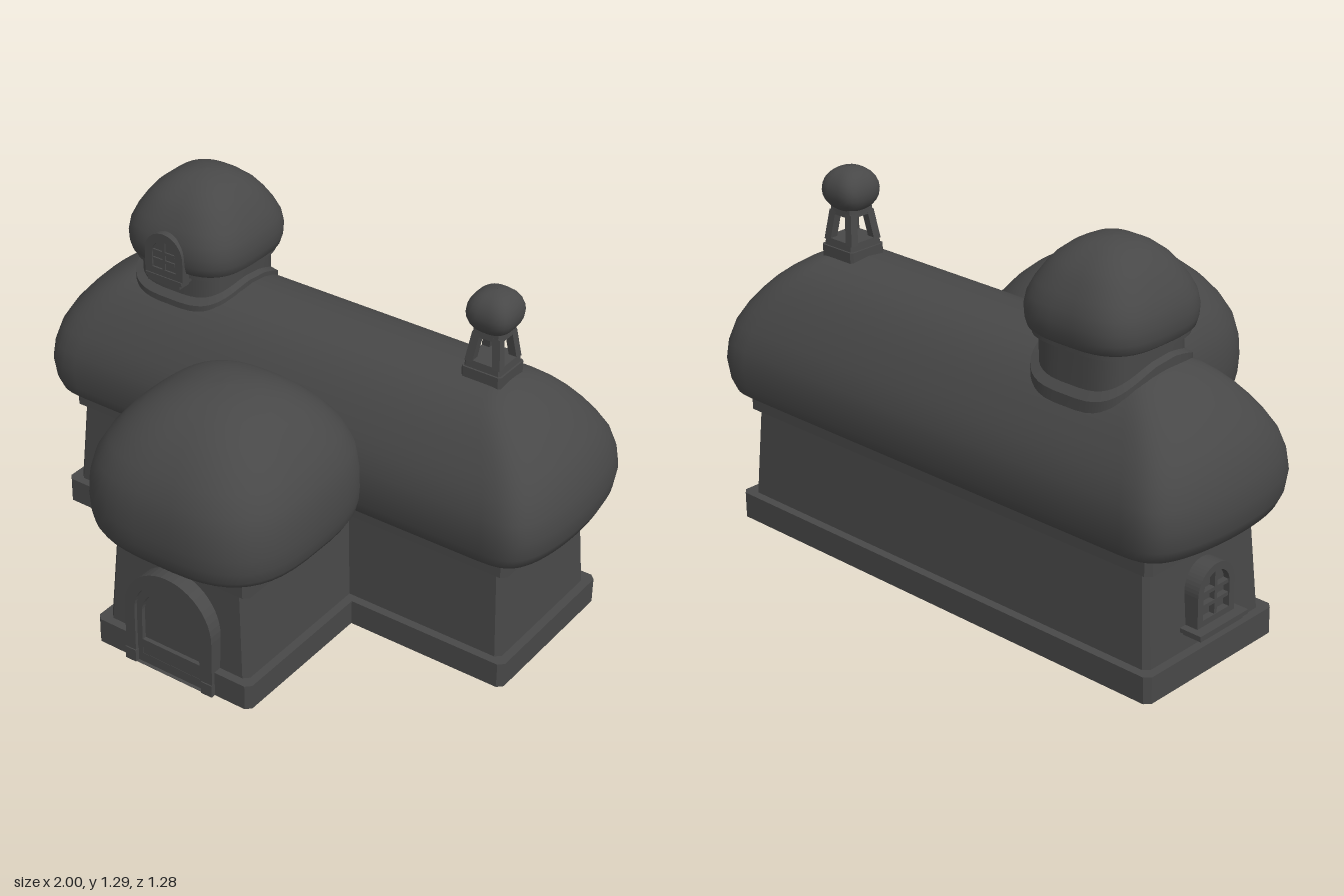
import * as THREE from 'three';

const mat = new THREE.MeshStandardMaterial({ color: 0x484848, side: THREE.DoubleSide });

// Plan outlines: rounded square that turns circular as it shrinks (own exponent per
// axis, optional straight middle), and chamfered rectangle
const superRing = (squareX, squareZ, widest, straight = 0, count = 48) => (hx, hz) => {
  const pts = [];
  const k = Math.min(1, (hx - straight) / (widest - straight));
  const p = 2 + (squareX - 2) * k, q = 2 + (squareZ - 2) * k;
  for (let i = 0; i < count; i++) {
    const t = ((i + 0.5) / count) * Math.PI * 2, c = Math.cos(t), s = Math.sin(t);
    pts.push([
      Math.sign(c) * (straight + (hx - straight) * Math.abs(c) ** (2 / p)),
      Math.sign(s) * hz * Math.abs(s) ** (2 / q),
    ]);
  }
  return pts;
};
const chamferRing = (k) => (x, z) => [
  [x, -z + k], [x, z - k], [x - k, z], [-x + k, z],
  [-x, z - k], [-x, -z + k], [-x + k, -z], [x - k, -z],
];

// Skins a profile of [y, halfX, halfZ] rows with a plan outline
function loft(profile, ring, { flat = false, bottom = false, top = false, bend = null } = {}) {
  const pos = [], idx = [];
  const rings = profile.map(([y, hx, hz]) => ring(hx, hz ?? hx).map(([x, z]) => [x, y + (bend ? bend(z) : 0), z]));
  const n = rings[0].length;
  rings.forEach((r) => r.forEach((p) => pos.push(...p)));
  for (let j = 0; j < rings.length - 1; j++) {
    for (let i = 0; i < n; i++) {
      const a = j * n + i, b = j * n + ((i + 1) % n);
      idx.push(a, a + n, b, b, a + n, b + n);
    }
  }
  // Caps get their own vertices so the rim stays sharp
  const cap = (r, y, up) => {
    const start = pos.length / 3;
    r.forEach((p) => pos.push(...p));
    pos.push(0, y, 0);
    for (let i = 0; i < n; i++) {
      const a = start + i, b = start + ((i + 1) % n);
      idx.push(start + n, up ? b : a, up ? a : b);
    }
  };
  if (bottom) cap(rings[0], profile[0][0], false);
  if (top) cap(rings[rings.length - 1], profile[profile.length - 1][0], true);
  let g = new THREE.BufferGeometry();
  g.setAttribute('position', new THREE.Float32BufferAttribute(pos, 3));
  g.setIndex(idx);
  if (flat) g = g.toNonIndexed();
  g.computeVertexNormals();
  return g;
}

function add(parent, name, geometry, x = 0, y = 0, z = 0) {
  const m = new THREE.Mesh(geometry, mat);
  m.name = name;
  m.position.set(x, y, z);
  parent.add(m);
}

// Round-headed outline standing on y0
function arch(C, half, y0, top) {
  const s = new C();
  s.moveTo(-half, y0);
  s.lineTo(half, y0);
  s.lineTo(half, top - half);
  s.absarc(0, top - half, half, 0, Math.PI, false);
  s.lineTo(-half, y0);
  return s;
}

// Extruded arch whose front face lies at z = front
function archSolid(outer, inner, depth, front) {
  const s = arch(THREE.Shape, ...outer);
  if (inner) s.holes.push(arch(THREE.Path, ...inner));
  return new THREE.ExtrudeGeometry(s, { depth, bevelEnabled: false, curveSegments: 12 }).translate(0, 0, front - depth);
}

// Window facing local +z; origin at the bottom of the frame on its front plane
function makeWindow(name, half, height, wide, recess, depth, sillHalf, sillOut) {
  const g = new THREE.Group();
  g.name = name;
  const inner = [half - wide, wide * 0.8, height - wide];
  add(g, 'windowFrame', archSolid([half, 0, height], inner, depth, 0));
  add(g, 'windowPane', archSolid(inner, null, 0.01, -recess));
  const h = inner[2] - inner[1], mid = (inner[2] + inner[1]) / 2, bar = half * 0.14;
  add(g, 'verticalBar', new THREE.BoxGeometry(bar, h, recess), 0, mid, -recess * 0.6);
  for (const k of [0.33, 0.66])
    add(g, 'crossBar', new THREE.BoxGeometry(inner[0] * 1.9, bar, recess), 0, inner[1] + h * k * 0.9, -recess * 0.6);
  const d = depth + sillOut;
  add(g, 'sill', new THREE.BoxGeometry(sillHalf * 2, 0.014, d), 0, -0.007, sillOut - d / 2);
  add(g, 'sillBase', new THREE.BoxGeometry(sillHalf * 1.75, 0.014, d - sillOut * 0.3), 0, -0.021, sillOut * 0.7 - (d - sillOut * 0.3) / 2);
  return g;
}

export function createModel() {
  const root = new THREE.Group();
  root.name = 'domedHouse';
  const box = chamferRing(0.018);

  // Main hall
  const hall = new THREE.Group();
  hall.name = 'mainHall';
  hall.position.z = -0.305;
  root.add(hall);
  const closed = { flat: true, bottom: true, top: true };
  add(hall, 'hallPlinth', loft([[0, 0.9, 0.297], [0.09, 0.9, 0.297]], box, closed));
  add(hall, 'hallWalls', loft([[0.09, 0.87, 0.267], [0.41, 0.848, 0.25]], box, closed));
  add(hall, 'hallCornice', loft([[0.4, 0.872, 0.267], [0.47, 0.872, 0.267]], box, closed));
  const hallRoof = [
    [0.46, 0.95, 0.29], [0.47, 0.972, 0.315], [0.51, 0.99, 0.327], [0.577, 1, 0.333], [0.64, 0.991, 0.327],
    [0.705, 0.972, 0.305], [0.76, 0.94, 0.274], [0.807, 0.9, 0.244], [0.845, 0.862, 0.214], [0.877, 0.82, 0.183],
    [0.905, 0.775, 0.148], [0.925, 0.735, 0.107], [0.938, 0.7, 0.065], [0.945, 0.66, 0.001],
  ];
  add(hall, 'hallRoof', loft(hallRoof, superRing(8, 1.9, 1, 0.65, 64), { bottom: true, top: true }));

  // Entrance wing, open underneath
  const wing = new THREE.Group();
  wing.name = 'entranceWing';
  wing.position.x = 0.012;
  root.add(wing);
  const rim = [[0, 0.31, 0.343], [0.09, 0.31, 0.343], [0.09, 0.25, 0.283], [0, 0.25, 0.283], [0, 0.31, 0.343]];
  add(wing, 'wingPlinth', loft(rim, box, { flat: true }), 0, 0, 0.212);
  add(wing, 'wingWalls', loft([[0.09, 0.28, 0.325], [0.41, 0.258, 0.31]], box, { flat: true }), 0, 0, 0.2);
  add(wing, 'wingCornice', loft([[0.4, 0.28, 0.322], [0.47, 0.28, 0.322]], box, closed), 0, 0, 0.2);
  const wingRoof = [
    [0.458, 0.325], [0.468, 0.358], [0.49, 0.37], [0.53, 0.378], [0.58, 0.381], [0.65, 0.377], [0.717, 0.361],
    [0.78, 0.327], [0.838, 0.28], [0.88, 0.232], [0.914, 0.178], [0.938, 0.115], [0.948, 0.06], [0.951, 0.001],
  ];
  add(wing, 'wingDome', loft(wingRoof, superRing(3.15, 3.15, 0.38), { bottom: true, top: true }), 0, 0, 0.257);

  // Doorway
  const door = new THREE.Group();
  door.name = 'doorway';
  wing.add(door);
  add(door, 'doorFrame', archSolid([0.174, 0, 0.385], [0.135, 0.001, 0.345], 0.08, 0.568));
  add(door, 'innerDoorFrame', archSolid([0.137, 0, 0.347], [0.115, 0.035, 0.31], 0.07, 0.556));
  add(door, 'doorPanel', archSolid([0.117, 0.02, 0.312], null, 0.03, 0.54));
  for (const s of [-1, 1])
    add(door, 'frameFoot', new THREE.BoxGeometry(0.042, 0.045, 0.05), s * 0.154, 0.0225, 0.547);

  // Wall windows: front, right end, right side of the wing
  const wallWindows = [
    ['frontWindow', -0.553, 0, 0],
    ['endWindow', -0.91, -0.305, -Math.PI / 2],
    ['wingWindow', -0.295, 0.257, -Math.PI / 2],
  ];
  for (const [name, x, z, turn] of wallWindows) {
    const w = makeWindow(name, 0.086, 0.19, 0.025, 0.022, 0.07, 0.112, 0.034);
    w.position.set(x, 0.17, z);
    w.rotation.y = turn;
    root.add(w);
  }

  // Roof tower with a collar that follows the curved roof
  const tower = new THREE.Group();
  tower.name = 'roofTower';
  tower.position.set(-0.51, 0, -0.329);
  root.add(tower);
  const square = superRing(3.4, 3.4, 0.18);
  const saddle = (z) => -1.9 * (z - 0.024) ** 2;
  add(tower, 'towerCollar', loft([[0.9, 0.208], [0.962, 0.208]], square, { bend: saddle }));
  add(tower, 'collarTop', loft([[0.962, 0.208], [0.97, 0.18]], square, { bend: saddle }));
  add(tower, 'towerDrum', loft([[0.82, 0.186], [1.02, 0.186]], square));
  add(tower, 'towerBand', loft([[0.998, 0.203], [1.016, 0.203]], square, { bottom: true }));
  const towerRoof = [
    [1.012, 0.205], [1.022, 0.217], [1.05, 0.224], [1.085, 0.226], [1.125, 0.219], [1.165, 0.201],
    [1.205, 0.176], [1.235, 0.152], [1.265, 0.115], [1.285, 0.075], [1.293, 0.035], [1.295, 0.001],
  ];
  add(tower, 'towerDome', loft(towerRoof, superRing(3.3, 3.3, 0.226), { bottom: true, top: true }));
  const dormer = makeWindow('towerWindow', 0.078, 0.155, 0.03, 0.006, 0.12, 0.075, 0.004);
  dormer.position.set(0.002, 0.993, 0.233);
  tower.add(dormer);

  // Chimney: foot, four leaning legs, head block and rounded cap
  const chimney = new THREE.Group();
  chimney.name = 'chimney';
  chimney.position.set(0.627, 0, -0.305);
  root.add(chimney);
  add(chimney, 'chimneyFoot', loft([[0.9, 0.072], [0.972, 0.072]], chamferRing(0.008), closed));
  add(chimney, 'chimneySill', loft([[0.97, 0.066], [0.997, 0.063]], chamferRing(0.006), closed));
  for (const sx of [-1, 1]) {
    for (const sz of [-1, 1]) {
      const leg = new THREE.BoxGeometry(0.028, 0.1, 0.028);
      const p = leg.attributes.position;
      for (let i = 0; i < p.count; i++) {
        const lean = p.getY(i) > 0 ? 0.036 : 0.05;
        p.setX(i, p.getX(i) + sx * lean);
        p.setZ(i, p.getZ(i) + sz * lean);
      }
      leg.computeVertexNormals();
      add(chimney, 'chimneyLeg', leg, 0, 1.04, 0);
    }
  }
  add(chimney, 'chimneyHead', loft([[1.078, 0.051], [1.11, 0.048]], chamferRing(0.006), closed));
  const ball = [];
  for (let i = 0; i <= 12; i++) {
    const a = -Math.PI / 2 + (i / 12) * Math.PI;
    ball.push([1.16 + 0.075 * Math.sin(a), Math.max(0.001, 0.082 * Math.cos(a) ** 0.85)]);
  }
  add(chimney, 'chimneyCap', loft(ball, superRing(3.2, 3.2, 0.082, 0, 24)));

  return root;
}
